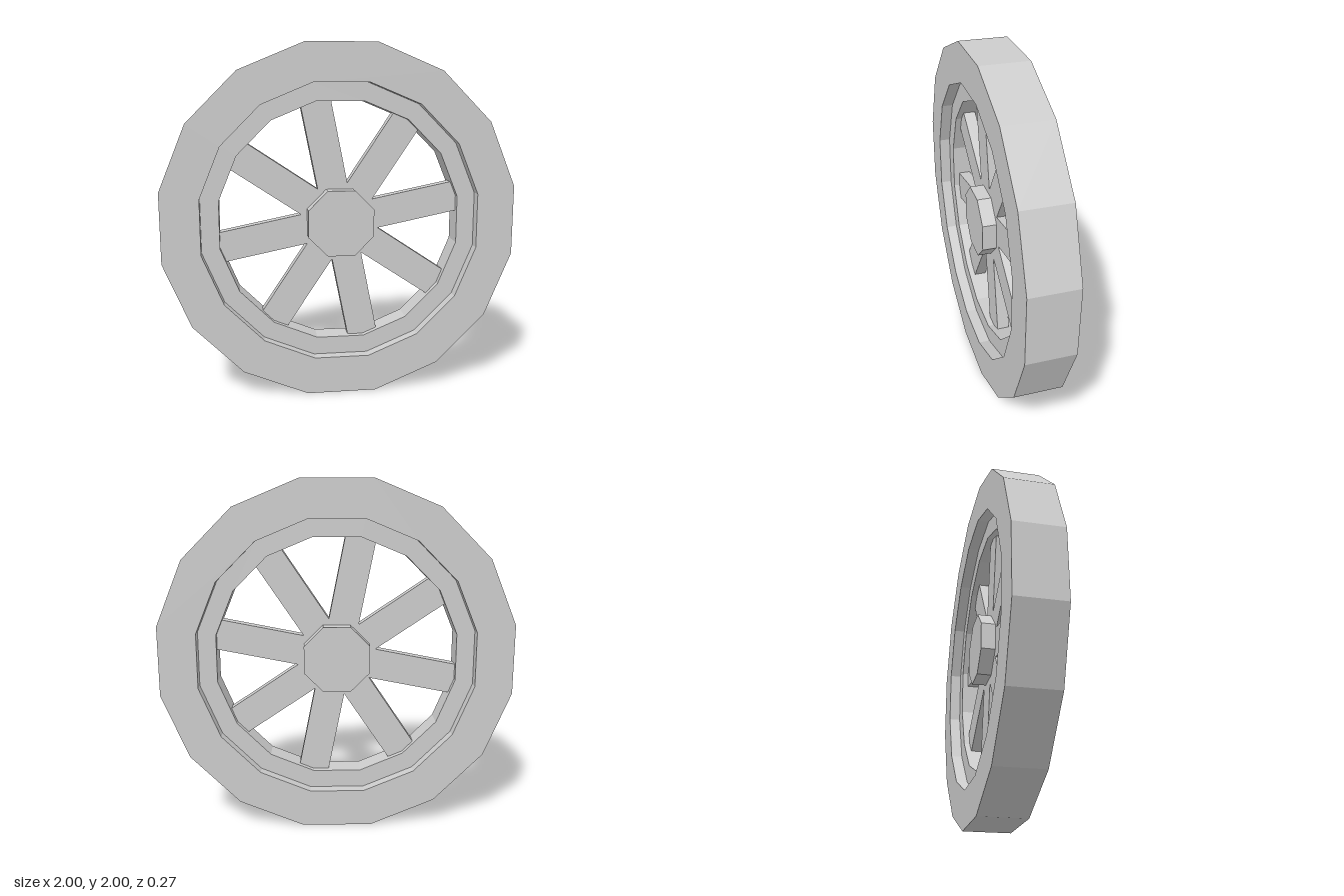
import * as THREE from 'three';

// Regular polygon with a flat side on top, given by its apothem (centre to flat).
function polygon(Target, sides, apothem) {
  const r = apothem / Math.cos(Math.PI / sides);
  const points = [];
  for (let i = 0; i < sides; i++) {
    const a = ((i + 0.5) / sides) * Math.PI * 2;
    points.push(new THREE.Vector2(Math.cos(a) * r, Math.sin(a) * r));
  }
  return new Target(points);
}

// Polygon slab centred on z = 0, with an optional hole of the same side count.
function slab(sides, outer, inner, depth) {
  const shape = polygon(THREE.Shape, sides, outer);
  if (inner) shape.holes.push(polygon(THREE.Path, sides, inner));
  const geometry = new THREE.ExtrudeGeometry(shape, { depth, bevelEnabled: false });
  return geometry.translate(0, 0, -depth / 2);
}

export function createModel() {
  const group = new THREE.Group();
  group.name = 'wheel';
  const grey = new THREE.MeshStandardMaterial({ color: 0xcccccc, flatShading: true });
  grey.name = 'light grey';

  const add = (name, geometry) => {
    const mesh = new THREE.Mesh(geometry, grey);
    mesh.name = name;
    mesh.position.y = 1;
    group.add(mesh);
    return mesh;
  };

  // Heavy tyre, narrower recessed rim and protruding octagonal hub
  add('tyre', slab(16, 1, 0.785, 0.27));
  add('rim', slab(16, 0.787, 0.683, 0.14));
  add('hub', slab(8, 0.187, 0, 0.23));

  // Eight spokes, each aimed at a corner of the rim
  const spokeGeometry = new THREE.BoxGeometry(0.58, 0.173, 0.07).translate(0.43, 0, 0);
  for (let i = 0; i < 8; i++) {
    add('spoke', spokeGeometry).rotation.z = Math.PI / 16 + (i * Math.PI) / 4;
  }
  return group;
}
